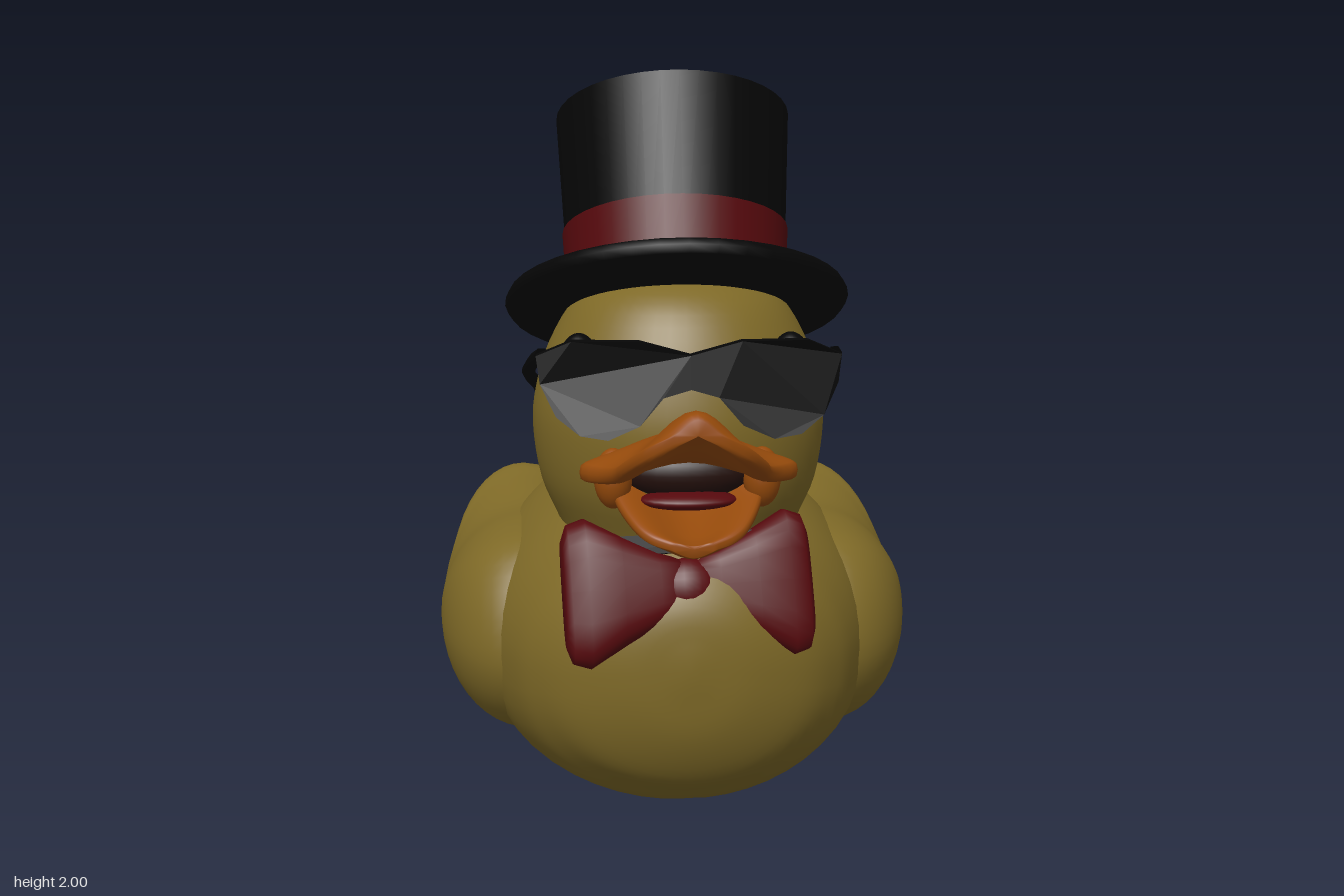
import * as THREE from 'three';

const mat = (name, color, side = THREE.FrontSide) => {
  const m = new THREE.MeshStandardMaterial({ color, side });
  m.name = name;
  return m;
};
const V = (x, y, z) => new THREE.Vector3(x, y, z);

// Closed skin over a row of equal-length loops, capped at both ends
function loft(rings) {
  const n = rings[0].length, m = rings.length;
  const pts = rings.flat(), idx = [];
  for (let i = 0; i < m - 1; i++)
    for (let j = 0; j < n; j++) {
      const a = i * n + j, b = i * n + (j + 1) % n;
      idx.push(a, b, a + n, b, b + n, a + n);
    }
  [0, m - 1].forEach((r, end) => {
    const c = V(0, 0, 0);
    rings[r].forEach(p => c.addScaledVector(p, 1 / n));
    const k = pts.push(c) - 1;
    for (let j = 0; j < n; j++) {
      const a = r * n + j, b = r * n + (j + 1) % n;
      if (end) idx.push(a, b, k); else idx.push(b, a, k);
    }
  });
  // Turn the faces outward whichever way the loops run
  let vol = 0;
  for (let i = 0; i < idx.length; i += 3)
    vol += pts[idx[i]].dot(pts[idx[i + 1]].clone().cross(pts[idx[i + 2]]));
  if (vol < 0) idx.reverse();
  const g = new THREE.BufferGeometry().setFromPoints(pts);
  g.setIndex(idx);
  g.computeVertexNormals();
  return g;
}

// Smoothly fill in between rows of section values
function fill(rows, count) {
  const part = (a, b, c) => new THREE.CatmullRomCurve3(
    rows.map(r => V(r[a], r[b], r[c] ?? 0)), false, 'catmullrom');
  const p = part(0, 1, 2), q = part(3, 4, 5);
  return Array.from({ length: count + 1 }, (_, i) =>
    [...p.getPoint(i / count).toArray(), ...q.getPoint(i / count).toArray()]);
}

// Arched plate with rounded rims; rows are z, half width, centre y, edge y, thickness
function bill(rows) {
  return loft(fill(rows, 20).map(([z, w, c, e, t]) =>
    Array.from({ length: 40 }, (_, i) => {
      const a = i / 40 * Math.PI * 2, u = Math.cos(a), s = Math.sin(a);
      const y = e + (c - e) * (0.5 + 0.5 * Math.cos(Math.PI * u));
      return V(w * u, y - t / 2 + t / 2 * Math.sign(s) * Math.sqrt(Math.abs(s)), z);
    })));
}

export function createModel() {
  const model = new THREE.Group();
  const yellow = mat('yellow rubber', 0x7e6927);
  const orange = mat('orange bill', 0x954a0b);
  const red = mat('red cloth', 0x56090d);
  const black = mat('black', 0x060606, THREE.DoubleSide);
  const dark = mat('dark mouth', 0x24100c);
  const add = (name, geo, m, parent = model) => {
    const mesh = new THREE.Mesh(geo, m);
    mesh.name = name;
    parent.add(mesh);
    return mesh;
  };

  // Body with upturned tail: z, bottom, top, half width, widest height
  const bodyRows = [
    [0.69, 0.41, 0.49, 0.03, 0.45], [0.67, 0.26, 0.61, 0.17, 0.44],
    [0.61, 0.13, 0.71, 0.31, 0.42], [0.53, 0.06, 0.77, 0.4, 0.41],
    [0.42, -0.01, 0.81, 0.47, 0.4], [0.2, -0.07, 0.87, 0.55, 0.39],
    [-0.1, -0.08, 0.89, 0.58, 0.4], [-0.35, -0.05, 0.885, 0.55, 0.42],
    [-0.52, 0.01, 0.865, 0.48, 0.46], [-0.62, 0.08, 0.875, 0.42, 0.5],
    [-0.72, 0.2, 0.95, 0.35, 0.57], [-0.8, 0.33, 1.03, 0.27, 0.65],
    [-0.86, 0.5, 0.99, 0.17, 0.72], [-0.895, 0.68, 0.84, 0.05, 0.76]];
  add('body', loft(fill(bodyRows, 60).map(([z, yb, yt, w, ym]) =>
    Array.from({ length: 48 }, (_, j) => {
      const a = j / 48 * Math.PI * 2, s = Math.sin(a);
      const y = s > 0 ? ym + (yt - ym) * s : ym - (ym - yb) * (-s) ** 0.85;
      return V(w * Math.cos(a), Math.max(0, y), z);
    }))), yellow);

  // Wings: outline (z, y) swelling outward, with the tip standing off the body
  const outline = new THREE.CatmullRomCurve3([
    [0.36, 0.36], [0.32, 0.53], [0.2, 0.66], [0, 0.7], [-0.22, 0.7], [-0.45, 0.74],
    [-0.57, 0.76], [-0.61, 0.7], [-0.59, 0.54], [-0.52, 0.42], [-0.43, 0.3],
    [-0.3, 0.17], [-0.1, 0.11], [0.15, 0.11], [0.3, 0.22]
  ].map(([z, y]) => V(0, y, z)), true).getPoints(60).slice(0, 60);
  const mid = V(0, 0.41, -0.08);
  for (const side of [1, -1]) {
    const steps = [[0.4, 0.3], [0.9, 0.33], [0.98, 0.37]];
    for (let i = 0; i <= 12; i++) {
      const a = i / 12.3 * Math.PI / 2;
      steps.push([Math.cos(a), 0.43 + 0.27 * Math.sin(a)]);
    }
    add(side > 0 ? 'leftWing' : 'rightWing', loft(steps.map(([s, x]) =>
      outline.map(o => {
        const p = mid.clone().lerp(o, s);
        return p.setX(side * (x + 0.12 * Math.max(0, -0.3 - p.z)));
      }))), yellow);
  }

  // Head, with the brow leaning forward
  const headCurve = new THREE.SplineCurve([
    [0.3, 0.66], [0.34, 0.76], [0.39, 0.88], [0.41, 1.02], [0.4, 1.13],
    [0.36, 1.26], [0.28, 1.385], [0.15, 1.45], [0, 1.46]
  ].map(p => new THREE.Vector2(...p)));
  const headGeo = new THREE.LatheGeometry(headCurve.getPoints(32), 48);
  const hp = headGeo.attributes.position;
  for (let i = 0; i < hp.count; i++)
    hp.setZ(i, hp.getZ(i) + 0.18 + 0.1 * Math.max(0, hp.getY(i) - 1.13));
  add('head', headGeo, yellow);

  // Open bill, its corners, mouth and tongue
  add('upperBill', bill([
    [0.53, 0.22, 1.07, 1.01, 0.08], [0.57, 0.27, 1.07, 1.01, 0.09], [0.62, 0.28, 1.08, 1.01, 0.085],
    [0.68, 0.23, 1.1, 1.01, 0.075], [0.74, 0.2, 1.13, 1.02, 0.065],
    [0.8, 0.18, 1.155, 1.045, 0.06], [0.87, 0.13, 1.165, 1.09, 0.06],
    [0.9, 0.06, 1.15, 1.12, 0.04]]), orange);
  add('lowerBill', bill([
    [0.52, 0.2, 0.87, 0.95, 0.05], [0.6, 0.19, 0.84, 0.91, 0.05],
    [0.7, 0.15, 0.815, 0.865, 0.045], [0.75, 0.11, 0.81, 0.84, 0.04],
    [0.78, 0.05, 0.81, 0.82, 0.03]]), orange);
  const ball = new THREE.SphereGeometry(1, 24, 16);
  for (const side of [1, -1]) {
    const corner = add('billCorner', ball, orange);
    corner.position.set(side * 0.195, 0.94, 0.56);
    corner.scale.set(0.05, 0.08, 0.05);
    // Eyes, tucked behind the lenses
    const eye = add('eye', ball, black);
    eye.position.set(side * 0.28, 1.225, 0.465);
    eye.scale.set(0.055, 0.085, 0.06);
  }
  const mouth = add('mouth', ball, dark);
  mouth.position.set(0, 0.95, 0.53);
  mouth.scale.set(0.17, 0.075, 0.08);
  const tongue = add('tongue', ball, red);
  tongue.position.set(0, 0.885, 0.58);
  tongue.scale.set(0.13, 0.025, 0.07);

  // Top hat, tipped backward
  const hat = new THREE.Group();
  hat.name = 'topHat';
  hat.position.set(0, 1.335, 0.12);
  hat.rotation.x = -0.38;
  model.add(hat);
  const lathe = pts => new THREE.LatheGeometry(pts.map(p => new THREE.Vector2(...p)), 40);
  add('brim', lathe([[0, -0.02], [0.3, -0.02], [0.48, -0.015], [0.53, -0.005], [0.545, 0.015],
    [0.535, 0.035], [0.5, 0.04], [0.3, 0.04]]), black, hat).scale.x = 0.89;
  const crown = add('crown', new THREE.CylinderGeometry(0.35, 0.315, 0.565, 40), black, hat);
  crown.position.set(0, 0.2825, 0.018);
  crown.scale.x = 0.96;
  const band = add('hatBand', new THREE.CylinderGeometry(0.335, 0.323, 0.185, 40, 1, true), red, hat);
  band.position.set(0, 0.1275, 0.016);
  band.scale.x = 0.96;

  // Sunglasses: one curved front piece, leaning out at the bottom, with arms
  const glasses = new THREE.Group();
  glasses.name = 'sunglasses';
  model.add(glasses);
  const half = [[0, 1.275], [0.13, 1.31], [0.3, 1.31], [0.39, 1.27], [0.38, 1.2], [0.34, 1.12],
    [0.28, 1.075], [0.21, 1.065], [0.13, 1.1], [0.07, 1.17], [0, 1.19]];
  for (const side of [1, -1]) {
    const shape = new THREE.Shape(half.map(([x, y]) => new THREE.Vector2(side * x, y)));
    const lens = new THREE.ExtrudeGeometry(shape, { depth: 0.045, bevelEnabled: false });
    const p = lens.attributes.position;
    for (let i = 0; i < p.count; i++)
      p.setZ(i, p.getZ(i) + 0.63 + 0.12 * (1.31 - p.getY(i)) - 2.5 * p.getX(i) ** 4);
    lens.computeVertexNormals();
    add('lens', lens, black, glasses);
    const arm = new THREE.CatmullRomCurve3([[0.375, 1.27, 0.6], [0.4, 1.23, 0.42],
      [0.42, 1.15, 0.1], [0.395, 1.095, -0.03], [0.38, 1.04, -0.07]]
      .map(([x, y, z]) => V(side * x, y, z)));
    add('arm', new THREE.TubeGeometry(arm, 24, 0.019, 6), black, glasses);
  }

  // Bow tie, leaning back and slightly turned
  const bow = new THREE.Group();
  bow.name = 'bowTie';
  bow.position.set(0, 0.65, 0.585);
  bow.rotation.set(-0.36, 0.15, 0, 'YXZ');
  model.add(bow);
  for (const side of [1, -1]) {
    const rows = [[0.02, 0.075, 0.055], [0.08, 0.095, 0.06], [0.18, 0.145, 0.07],
      [0.27, 0.195, 0.07], [0.315, 0.18, 0.055], [0.33, 0.14, 0.035]];
    add('bowLoop', loft(rows.map(([x, h, d]) => Array.from({ length: 24 }, (_, j) => {
      const a = j / 24 * Math.PI * 2, c = Math.cos(a), s = Math.sin(a);
      return V(side * x, h * Math.sign(s) * Math.abs(s) ** 0.6, d * Math.sign(c) * Math.abs(c) ** 0.7);
    }))), red, bow);
  }
  add('knot', ball, red, bow).scale.set(0.09, 0.085, 0.07);
  add('collar', new THREE.BoxGeometry(0.6, 0.05, 0.12), black, bow).position.set(0, 0.115, -0.03);

  return model;
}
